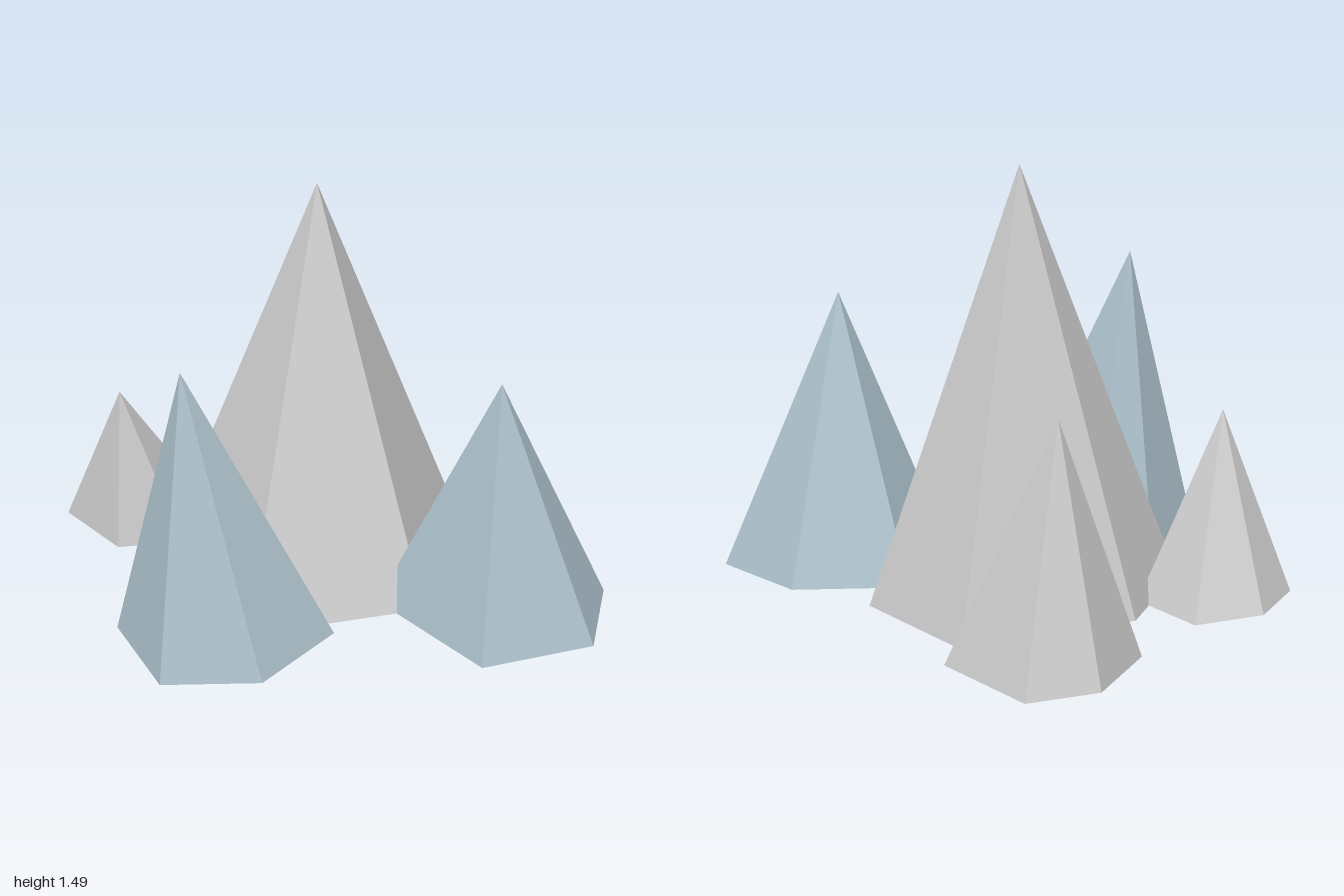
import * as THREE from 'three';

const grey = new THREE.MeshStandardMaterial({ color: 0xcccccc, flatShading: true });
const blue = new THREE.MeshStandardMaterial({ color: 0xabbfca, flatShading: true });

// Each spire: apex [x, y, z] and six irregular ground corners [x, z], clockwise from above
const spires = [
  { name: 'centralSpire', material: grey, apex: [-0.1, 1.49, -0.12],
    base: [[-0.43, -0.67], [0.1, -0.63], [0.49, -0.155], [0.22, 0.43], [-0.365, 0.395], [-0.615, -0.06]] },
  { name: 'backRightSpire', material: grey, apex: [-0.72, 0.8, -0.515],
    base: [[-0.91, -0.825], [-0.5, -0.8], [-0.29, -0.48], [-0.565, -0.21], [-0.865, -0.28], [-1, -0.59]] },
  { name: 'frontRightSpire', material: grey, apex: [-0.535, 0.63, 0.435],
    base: [[-0.78, 0.055], [-0.48, 0.085], [-0.35, 0.31], [-0.47, 0.52], [-0.76, 0.555], [-0.865, 0.3]] },
  { name: 'frontSpire', material: blue, apex: [0.06, 1.09, 0.565],
    base: [[-0.08, 0.22], [0.395, 0.18], [0.45, 0.535], [0.245, 0.82], [-0.095, 0.77], [-0.2, 0.44]] },
  { name: 'leftSpire', material: blue, apex: [0.625, 0.975, -0.34],
    base: [[0.41, -0.73], [0.8, -0.74], [1, -0.5], [0.85, -0.115], [0.35, -0.05], [0.155, -0.41]] },
];

// Separate triangles keep every facet flat
function facets(triangles, material, name) {
  const geometry = new THREE.BufferGeometry();
  geometry.setAttribute('position', new THREE.Float32BufferAttribute(triangles.flat(2), 3));
  geometry.computeVertexNormals();
  const mesh = new THREE.Mesh(geometry, material);
  mesh.name = name;
  return mesh;
}

function makeSpire({ name, material, apex, base }) {
  const ring = base.map(([x, z]) => [x, 0, z]);
  const sides = ring.map((a, i) => [apex, ring[(i + 1) % ring.length], a]);
  const underside = ring.slice(1, -1).map((a, i) => [ring[0], a, ring[i + 2]]);
  const spire = new THREE.Group();
  spire.name = name;
  spire.add(facets(sides, material, 'slopes'), facets(underside, grey, 'underside'));
  return spire;
}

export function createModel() {
  const model = new THREE.Group();
  model.name = 'rockSpires';
  for (const spire of spires) model.add(makeSpire(spire));
  return model;
}
